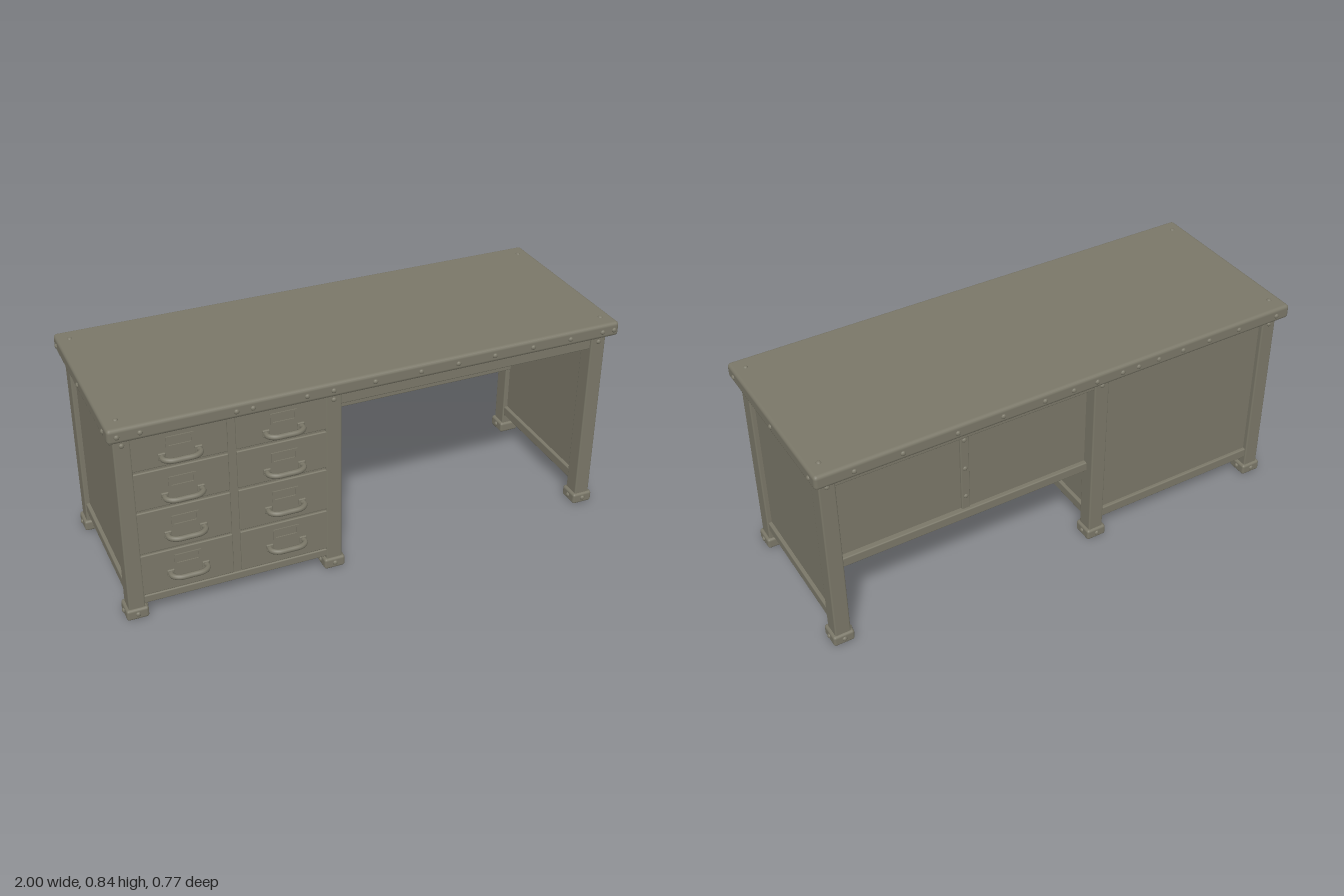
import * as THREE from 'three';
import { RoundedBoxGeometry } from 'three/addons/geometries/RoundedBoxGeometry.js';

export function createModel() {
  const desk = new THREE.Group();
  desk.name = 'desk';
  const paint = new THREE.MeshStandardMaterial({ color: 0x7a7768 });
  paint.name = 'olive grey paint';

  const add = (name, geometry, parent = desk) => {
    const mesh = new THREE.Mesh(geometry, paint);
    mesh.name = name;
    parent.add(mesh);
    return mesh;
  };
  // Box given by its limits on each axis, with softened edges when r > 0
  const block = (name, [x0, x1], [y0, y1], [z0, z1], r = 0, parent = desk) => {
    const size = [x1 - x0, y1 - y0, z1 - z0];
    const geometry = r ? new RoundedBoxGeometry(...size, 2, r) : new THREE.BoxGeometry(...size);
    const mesh = add(name, geometry, parent);
    mesh.position.set((x0 + x1) / 2, (y0 + y1) / 2, (z0 + z1) / 2);
    return mesh;
  };
  // Domed rivet whose head points along the given direction
  const domeGeometry = new THREE.SphereGeometry(0.01, 10, 5, 0, Math.PI * 2, 0, Math.PI / 2);
  domeGeometry.scale(1, 0.8, 1);
  const up = new THREE.Vector3(0, 1, 0);
  const rivet = (x, y, z, dx, dy, dz) => {
    const mesh = add('rivet', domeGeometry);
    mesh.position.set(x, y, z);
    mesh.quaternion.setFromUnitVectors(up, new THREE.Vector3(dx, dy, dz));
  };

  // Desktop slab with riveted rim
  block('desktop', [-0.993, 0.993], [0.775, 0.833], [-0.378, 0.378], 0.014);
  for (const x of [-0.96, -0.88, -0.54, -0.48, -0.28, -0.18, -0.02, 0.16, 0.31, 0.46, 0.62, 0.78, 0.92, 0.97])
    rivet(x, 0.803, 0.377, 0, 0, 1);
  for (const x of [-0.93, -0.75, -0.61, -0.49, -0.38, -0.29, -0.22, -0.11, -0.01, 0.11, 0.28, 0.46, 0.67, 0.85])
    rivet(x, 0.803, -0.377, 0, 0, -1);
  for (const s of [-1, 1]) {
    for (const z of [-0.33, -0.015, 0.32]) rivet(s * 0.992, 0.803, z, s, 0, 0);
    for (const z of [-0.31, 0.315]) rivet(s * 0.945, 0.831, z, 0, 1, 0);
  }

  // Six legs with block feet
  for (const x of [-0.937, -0.162, 0.935]) {
    for (const s of [-1, 1]) {
      const z = s * 0.302;
      block('leg', [x - 0.031, x + 0.031], [0.03, 0.78], [z - 0.034, z + 0.034], 0.006);
      block('foot', [x - 0.042, x + 0.042], [0, 0.045], [z - 0.043, z + 0.043], 0.01);
      rivet(x, 0.024, z + s * 0.042, 0, 0, s);
      rivet(x, 0.74, s * 0.335, 0, 0, s);
      for (const side of [-1, 1]) rivet(x + side * 0.041, 0.024, z, side, 0, 0);
      if (Math.abs(x) > 0.5) rivet(x + Math.sign(x) * 0.03, 0.74, z, Math.sign(x), 0, 0);
    }
  }

  // Side panels framed by rails between front and back legs
  for (const x of [-0.937, -0.162, 0.935]) {
    block('sidePanel', [x - 0.012, x + 0.012], [0.09, 0.78], [-0.28, 0.28]);
    block('sideBottomRail', [x - 0.026, x + 0.026], [0.083, 0.125], [-0.28, 0.28], 0.005);
    block('sideTopRail', [x - 0.026, x + 0.026], [0.753, 0.78], [-0.28, 0.28], 0.005);
  }

  // Pedestal floor, back and front carcass
  block('pedestalFloor', [-0.93, -0.17], [0.084, 0.1], [-0.3, 0.3]);
  block('pedestalBack', [-0.92, -0.18], [0.09, 0.78], [-0.316, -0.3]);
  block('pedestalBackBottomRail', [-0.92, -0.18], [0.083, 0.125], [-0.329, -0.29], 0.005);
  block('pedestalBackTopRail', [-0.92, -0.18], [0.74, 0.78], [-0.329, -0.29], 0.005);
  block('pedestalFront', [-0.92, -0.18], [0.06, 0.78], [0.29, 0.327]);
  block('pedestalFrontBottomRail', [-0.92, -0.18], [0.055, 0.088], [0.3, 0.333], 0.005);

  // Drawers with bail handles and label frames
  const handlePath = new THREE.CatmullRomCurve3([
    [-0.066, 0], [-0.068, 0.025], [-0.048, 0.043], [0, 0.046],
    [0.048, 0.043], [0.068, 0.025], [0.066, 0],
  ].map(([x, z]) => new THREE.Vector3(x, 0, z)));
  const handleGeometry = new THREE.TubeGeometry(handlePath, 28, 0.0105, 8);
  const frame = new THREE.Shape();
  frame.moveTo(-0.05, -0.022).lineTo(0.05, -0.022).lineTo(0.05, 0.022).lineTo(-0.05, 0.022).closePath();
  const hole = new THREE.Path();
  hole.moveTo(-0.041, -0.014).lineTo(-0.041, 0.014).lineTo(0.041, 0.014).lineTo(0.041, -0.014).closePath();
  frame.holes.push(hole);
  const frameGeometry = new THREE.ExtrudeGeometry(frame, { depth: 0.006, bevelEnabled: false });

  const rows = [[0.622, 0.768, 0.663], [0.458, 0.612, 0.5], [0.273, 0.448, 0.335], [0.092, 0.265, 0.165]];
  for (const [x0, x1, handleX] of [[-0.918, -0.562, -0.735], [-0.532, -0.184, -0.355]]) {
    for (const [y0, y1, handleY] of rows) {
      const drawer = new THREE.Group();
      drawer.name = 'drawer';
      desk.add(drawer);
      block('drawerFront', [x0, x1], [y0, y1], [0.3, 0.334], 0.004, drawer);
      add('handle', handleGeometry, drawer).position.set(handleX, handleY, 0.33);
      add('labelFrame', frameGeometry, drawer).position.set(handleX, handleY + 0.052, 0.332);
      for (const s of [-1, 1]) {
        const x = handleX + s * 0.066;
        block('handleMount', [x - 0.014, x + 0.014], [handleY - 0.014, handleY + 0.014], [0.328, 0.34], 0.004, drawer);
      }
    }
  }

  // Knee space: front apron, recessed modesty panels, rails and joint strip
  block('frontApron', [-0.14, 0.915], [0.709, 0.78], [0.29, 0.326], 0.005);
  block('modestyPanelLeft', [0.38, 0.915], [0.33, 0.78], [-0.278, -0.263]);
  block('modestyPanelRight', [-0.14, 0.385], [0.33, 0.78], [-0.282, -0.267]);
  block('modestyBottomRail', [-0.14, 0.915], [0.323, 0.363], [-0.3, -0.245], 0.005);
  block('modestyTopRail', [-0.14, 0.915], [0.725, 0.78], [-0.329, -0.262], 0.005);
  block('jointStrip', [0.37, 0.405], [0.35, 0.75], [-0.287, -0.258], 0.004);
  for (const y of [0.42, 0.55, 0.68]) rivet(0.388, y, -0.285, 0, 0, -1);

  return desk;
}
